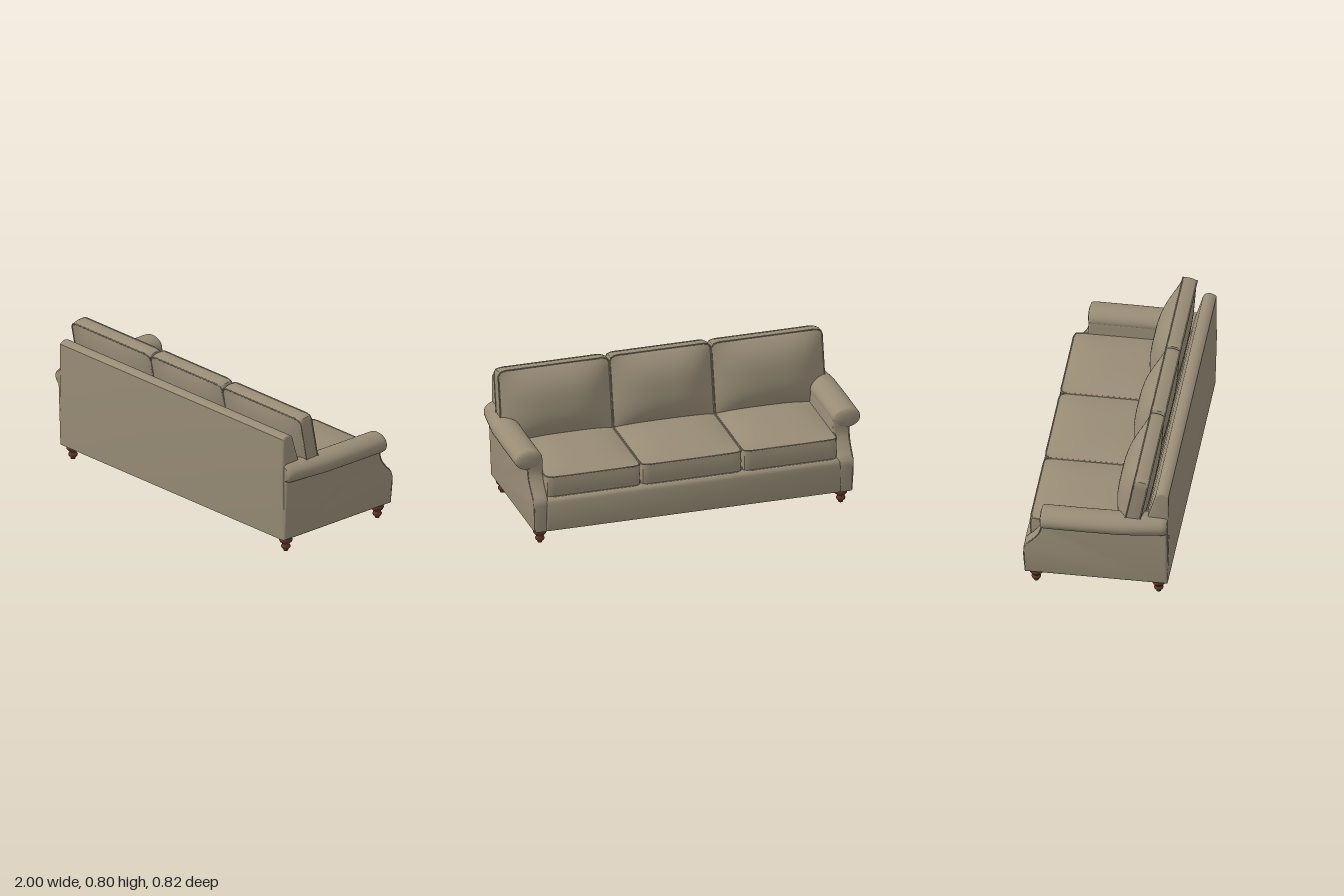
import * as THREE from 'three';
import { toCreasedNormals } from 'three/addons/utils/BufferGeometryUtils.js';

const fabric = new THREE.MeshStandardMaterial({ color: 0x988c76 });
fabric.name = 'taupe fabric';
const wood = new THREE.MeshStandardMaterial({ color: 0x5c3426 });
wood.name = 'brown wood';

function add(parent, name, geometry, material = fabric) {
  const mesh = new THREE.Mesh(geometry, material);
  mesh.name = name;
  parent.add(mesh);
  return mesh;
}

// Move every vertex by a rule, then rebuild smooth normals with sharp edges kept
function reshape(geometry, rule, crease = 0.7) {
  const p = geometry.attributes.position;
  const v = new THREE.Vector3();
  for (let i = 0; i < p.count; i++) {
    rule(v.fromBufferAttribute(p, i));
    p.setXYZ(i, v.x, v.y, v.z);
  }
  geometry.deleteAttribute('uv');
  geometry.deleteAttribute('normal');
  return toCreasedNormals(geometry, crease);
}

function piping(points, closed) {
  const curve = new THREE.CatmullRomCurve3(points, closed);
  return new THREE.TubeGeometry(curve, closed ? 96 : 32, 0.004, 6, closed);
}

// Boxed cushion in its local xy plane, crowned on both faces, piped on both seams.
// notch: +1 or -1 cuts the lower outer side so it fits beside an arm.
function cushion({ w, h, d, crownFront, crownBack, notch = 0 }) {
  const group = new THREE.Group();
  const r = 0.03;
  const outline = (x, y) => {
    const cx = THREE.MathUtils.clamp(x, r - w / 2, w / 2 - r);
    const cy = THREE.MathUtils.clamp(y, r - h / 2, h / 2 - r);
    let dx = x - cx, dy = y - cy;
    if (dx && dy) {
      const k = Math.max(Math.abs(dx), Math.abs(dy)) / Math.hypot(dx, dy);
      dx *= k;
      dy *= k;
    }
    let px = cx + dx;
    if (notch && y < -0.07 && px * notch > w / 2 - 0.07) px = notch * (w / 2 - 0.07);
    return [px, cy + dy];
  };
  const body = reshape(new THREE.BoxGeometry(w, h, d, 24, 20, 4), (v) => {
    const u = (2 * v.x) / w, k = (2 * v.y) / h, t = (2 * v.z) / d;
    const [x, y] = outline(v.x, v.y);
    const puff = (1 - t * t) * 0.006;
    v.x = x + (Math.abs(u) > 0.999 ? Math.sign(u) * puff * 0.3 : 0);
    v.y = y + (Math.abs(k) > 0.999 ? Math.sign(k) * puff : 0);
    if (Math.abs(t) > 0.999) {
      const f = Math.max(0, (1 - Math.abs(u) ** 3) * (1 - Math.abs(k) ** 2.7));
      v.z += t > 0 ? crownBack * f : -crownFront * f;
    }
  });
  add(group, 'cushionBody', body);
  for (const side of [-1, 1]) {
    const points = [];
    const n = 14;
    const corners = [[-1, -1], [1, -1], [1, 1], [-1, 1]];
    corners.forEach(([a, b], i) => {
      const [c, e] = corners[(i + 1) % 4];
      for (let j = 0; j < n; j++) {
        const t = j / n;
        const [x, y] = outline((a + (c - a) * t) * w / 2, (b + (e - b) * t) * h / 2);
        points.push(new THREE.Vector3(x, y, side * d / 2));
      }
    });
    add(group, 'cushionPiping', piping(points, true));
  }
  return group;
}

// Extrude a side profile (forward, up) across the width, centred on x = 0
function sideExtrude(shape, width, bevel) {
  const g = new THREE.ExtrudeGeometry(shape, {
    depth: width - 2 * bevel, bevelEnabled: true, bevelThickness: bevel,
    bevelSize: bevel, bevelOffset: -bevel, bevelSegments: 3, curveSegments: 12,
  });
  g.translate(0, 0, -(width - 2 * bevel) / 2);
  g.rotateY(Math.PI / 2);
  return g;
}

function makeArm(s) {
  const arm = new THREE.Group();
  arm.name = s > 0 ? 'leftArm' : 'rightArm';
  const flare = (y) => (y - 0.085) * 0.04;

  // Side panel with a swept front edge
  const shape = new THREE.Shape();
  shape.moveTo(-0.4, 0.085);
  shape.lineTo(0.395, 0.085);
  shape.lineTo(0.403, 0.245);
  shape.bezierCurveTo(0.4, 0.29, 0.37, 0.295, 0.345, 0.33);
  shape.bezierCurveTo(0.315, 0.365, 0.3, 0.39, 0.3, 0.43);
  shape.lineTo(0.3, 0.48);
  shape.lineTo(-0.4, 0.48);
  shape.closePath();
  const panel = reshape(sideExtrude(shape, 0.082, 0.012), (v) => {
    if (v.x * s > 0) v.x += s * flare(v.y);
  });
  panel.translate(s * 0.88, 0, 0);
  add(arm, 'armPanel', panel);

  // Piping down the outer front edge
  const edge = [[0.298, 0.43], [0.313, 0.37], [0.345, 0.325], [0.385, 0.28], [0.398, 0.24], [0.391, 0.09]];
  const path = edge.map(([f, y]) => new THREE.Vector3(s * (0.916 + flare(y)), y, -f));
  add(arm, 'armPiping', piping(path, false));

  // Rolled top, narrowing toward the back
  const profile = [[0, -0.4], [0.85, -0.4], [0.96, -0.392], [1, -0.37], [1, -0.15], [1, 0.05],
    [1, 0.28], [0.97, 0.293], [0.9, 0.299], [0.5, 0.306], [0, 0.308]];
  const roll = new THREE.LatheGeometry(profile.map(([x, y]) => new THREE.Vector2(x, y)), 36);
  roll.rotateX(-Math.PI / 2);
  add(arm, 'armRoll', reshape(roll, (v) => {
    const back = Math.max(0, (v.z - 0.05) / 0.35);
    v.x = s * 0.919 + v.x * 0.08 - s * 0.035 * back * back;
    v.y = 0.483 + v.y * 0.059;
  }));
  return arm;
}

export function createModel() {
  const sofa = new THREE.Group();
  sofa.name = 'sofa';

  // Reclined back frame
  const back = new THREE.Shape();
  back.moveTo(-0.4, 0.085);
  back.lineTo(-0.25, 0.085);
  back.lineTo(-0.26, 0.42);
  back.lineTo(-0.29, 0.54);
  back.lineTo(-0.332, 0.685);
  back.quadraticCurveTo(-0.342, 0.706, -0.37, 0.707);
  back.quadraticCurveTo(-0.39, 0.706, -0.406, 0.69);
  back.lineTo(-0.408, 0.4);
  back.closePath();
  add(sofa, 'backFrame', reshape(sideExtrude(back, 1.83, 0.01), () => {}));

  // Seat deck and front rail
  const deck = add(sofa, 'seatDeck', new THREE.BoxGeometry(1.74, 0.2, 0.7));
  deck.position.set(0, 0.195, 0);
  const rail = new THREE.Shape();
  rail.moveTo(0.28, 0.088);
  rail.lineTo(0.4, 0.088);
  rail.quadraticCurveTo(0.416, 0.18, 0.402, 0.26);
  rail.quadraticCurveTo(0.396, 0.28, 0.37, 0.282);
  rail.lineTo(0.28, 0.282);
  rail.closePath();
  add(sofa, 'frontRail', reshape(sideExtrude(rail, 1.7, 0.008), () => {}));

  // Seat and back cushions
  for (const i of [-1, 0, 1]) {
    const seat = cushion({
      w: i ? 0.546 : 0.582, h: 0.61, d: 0.12, crownFront: 0.01, crownBack: 0.032,
    });
    seat.name = 'seatCushion';
    seat.rotation.x = -Math.PI / 2;
    seat.position.set(i * 0.569, 0.34, -0.07);
    sofa.add(seat);

    const rest = cushion({
      w: i ? 0.64 : 0.582, h: i ? 0.42 : 0.428, d: 0.08, crownFront: 0.08, crownBack: 0.03, notch: i,
    });
    rest.name = 'backCushion';
    rest.rotation.x = 0.19;
    rest.position.set(i * 0.616, 0.582, 0.218);
    sofa.add(rest);
  }

  // Arms and turned feet
  const foot = [[0, 0], [0.013, 0], [0.015, 0.01], [0.023, 0.017], [0.026, 0.028], [0.02, 0.038],
    [0.024, 0.046], [0.034, 0.056], [0.037, 0.068], [0.031, 0.08], [0.028, 0.1]];
  const footGeometry = new THREE.LatheGeometry(
    new THREE.SplineCurve(foot.slice(1).map(([x, y]) => new THREE.Vector2(x, y))).getPoints(24), 24);
  for (const s of [-1, 1]) {
    sofa.add(makeArm(s));
    for (const z of [-0.337, 0.345]) {
      const leg = new THREE.Group();
      leg.name = 'leg';
      add(leg, 'turnedFoot', footGeometry, wood);
      const base = add(leg, 'footBase', new THREE.CircleGeometry(0.013, 24), wood);
      base.rotation.x = Math.PI / 2;
      leg.position.set(s * 0.87, 0, z);
      sofa.add(leg);
    }
  }
  return sofa;
}
